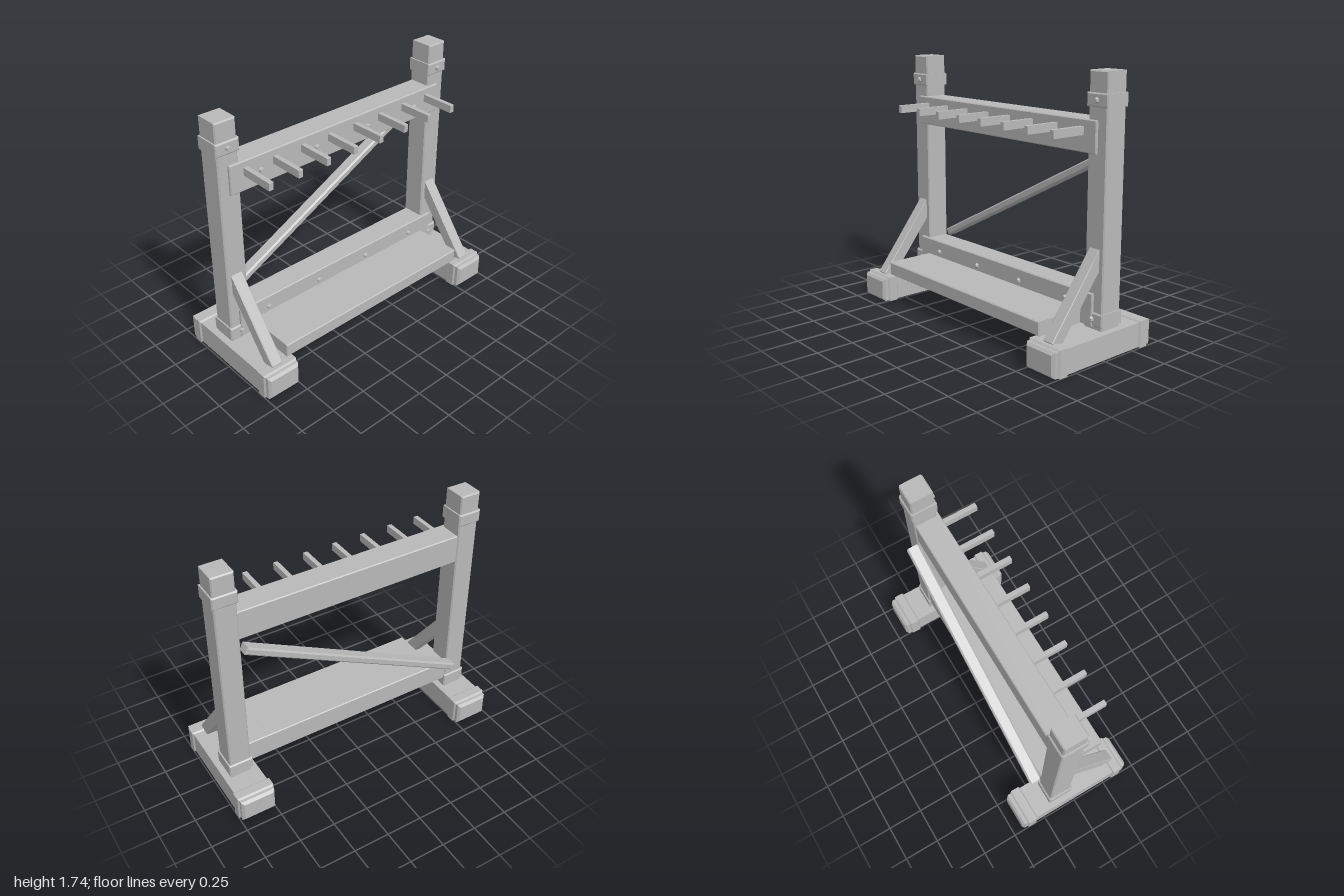
import * as THREE from 'three';

const grey = new THREE.MeshStandardMaterial({ color: 0xb8b8b8 });
grey.name = 'plain grey';

// Chamfered block given by its min and max corners
function block(name, [x0, y0, z0], [x1, y1, z1], c = 0.006) {
  const w = (x1 - x0) / 2 - c, h = (y1 - y0) / 2 - c, d = z1 - z0 - 2 * c;
  const s = new THREE.Shape([[-w, -h], [w, -h], [w, h], [-w, h]].map(p => new THREE.Vector2(...p)));
  const g = new THREE.ExtrudeGeometry(s, { depth: d, bevelSize: c, bevelThickness: c, bevelSegments: 1 });
  g.translate(0, 0, -d / 2);
  const m = new THREE.Mesh(g, grey);
  m.name = name;
  m.position.set((x0 + x1) / 2, (y0 + y1) / 2, (z0 + z1) / 2);
  return m;
}

// Hexagonal bolt head with a narrowed face, pointing forward
function bolt(x, y, z = -0.005) {
  const g = new THREE.CylinderGeometry(0.013, 0.02, 0.02, 6).toNonIndexed();
  g.computeVertexNormals();
  g.rotateX(Math.PI / 2);
  const m = new THREE.Mesh(g, grey);
  m.name = 'bolt';
  m.position.set(x, y, z + 0.01);
  return m;
}

// Slanted strut between foot and post, drawn in side profile
function footBrace(x) {
  const profile = [[-0.03, 0.69], [-0.03, 0.545], [0.27, 0.165], [0.355, 0.165], [0.36, 0.185]];
  const s = new THREE.Shape(profile.map(([z, y]) => new THREE.Vector2(-z, y)));
  const g = new THREE.ExtrudeGeometry(s, {
    depth: 0.072, bevelSize: 0.005, bevelOffset: -0.005, bevelThickness: 0.005, bevelSegments: 1,
  });
  g.translate(0, 0, -0.036);
  g.rotateY(Math.PI / 2);
  const m = new THREE.Mesh(g, grey);
  m.name = 'footBrace';
  m.position.x = x;
  return m;
}

// Foot, post, collars and brace for one end
function endFrame(side) {
  const grp = new THREE.Group();
  grp.name = side > 0 ? 'leftEnd' : 'rightEnd';
  const cx = 0.87 * side;
  const add = (name, hw, y0, y1, z0, z1, c) =>
    grp.add(block(name, [cx - hw, y0, z0], [cx + hw, y1, z1], c));
  add('foot', 0.12, 0.005, 0.168, -0.43, 0.43, 0.017);
  add('footBand', 0.13, 0, 0.178, 0.313, 0.392, 0.01);
  add('footBand', 0.13, 0, 0.178, -0.392, -0.313, 0.01);
  add('post', 0.074, 0.15, 1.738, -0.183, -0.021, 0.008);
  add('upperCollar', 0.084, 1.525, 1.61, -0.193, -0.01, 0.008);
  add('lowerCollar', 0.084, 0.19, 0.277, -0.193, -0.01, 0.008);
  grp.add(footBrace(cx), bolt(cx, 1.567, -0.012), bolt(cx, 0.235, -0.012));
  return grp;
}

export function createModel() {
  const root = new THREE.Group();
  root.name = 'rack';
  root.add(endFrame(1), endFrame(-1));

  // Cross rails and shelf
  root.add(
    block('upperRail', [-0.875, 1.25, -0.175], [0.875, 1.45, -0.003]),
    block('lowerRail', [-0.8, 0.24, -0.175], [0.8, 0.395, -0.01]),
    block('lowerRailFace', [-0.875, 0.186, -0.03], [0.875, 0.395, -0.003]),
    block('shelf', [-0.782, 0.186, -0.02], [0.782, 0.278, 0.348]),
  );

  // Diagonal brace across the back
  const diagonal = block('diagonalBrace', [-0.895, 0.789, -0.267], [0.895, 0.841, -0.183], 0.01);
  diagonal.rotation.z = 0.473;
  root.add(diagonal);

  // Hanging pegs
  for (let i = 0; i < 8; i++) {
    const x = (i - 3.5) * 0.2175;
    root.add(block('peg', [x - 0.016, 1.355, -0.02], [x + 0.016, 1.407, 0.242], 0.002));
  }

  // Rail bolts
  for (let i = 0; i < 4; i++) {
    const x = (i - 1.5) * 0.434;
    root.add(bolt(x, 1.347), bolt(x, 0.316));
  }
  return root;
}
